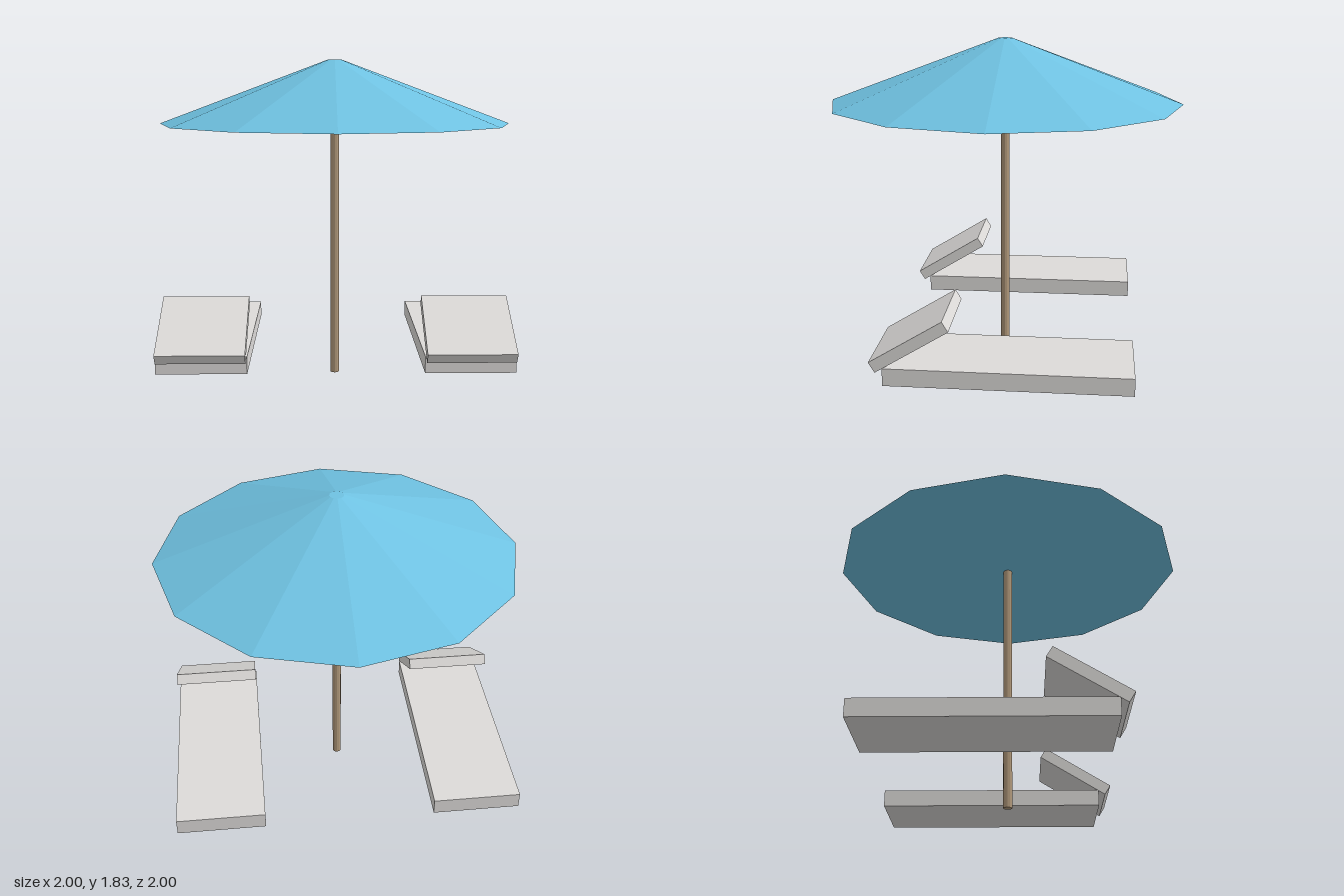
import * as THREE from 'three';

const flat = (name, color) => {
  const m = new THREE.MeshStandardMaterial({ color, flatShading: true });
  m.name = name;
  return m;
};

export function createModel() {
  const fabric = flat('blueFabric', 0x6fc2e2);
  const wood = flat('wood', 0xb0987a);
  const cushion = flat('paleGrey', 0xdddbd9);

  const model = new THREE.Group();
  model.name = 'parasolWithLoungers';

  const add = (parent, name, geometry, material, x, y, z) => {
    const mesh = new THREE.Mesh(geometry, material);
    mesh.name = name;
    mesh.position.set(x, y, z);
    parent.add(mesh);
    return mesh;
  };

  // Twelve-sided closed canopy with a small flat cap, on a slim pole
  add(model, 'canopy', new THREE.CylinderGeometry(0.04, 1, 0.36, 12), fabric, 0, 1.65, 0);
  add(model, 'pole', new THREE.CylinderGeometry(0.025, 0.025, 1.48, 12), wood, 0, 0.74, 0);

  // A matching lounger on each side, with its tilted backrest at the front
  for (const side of [-1, 1]) {
    const lounger = new THREE.Group();
    lounger.name = side > 0 ? 'leftLounger' : 'rightLounger';
    lounger.position.x = side * 0.726;
    add(lounger, 'bed', new THREE.BoxGeometry(0.494, 0.094, 1.277), cushion, 0, 0.202, -0.103);
    const back = add(lounger, 'backrest', new THREE.BoxGeometry(0.482, 0.063, 0.447), cushion, 0, 0.367, 0.4);
    back.rotation.x = 0.55;
    model.add(lounger);
  }
  return model;
}
